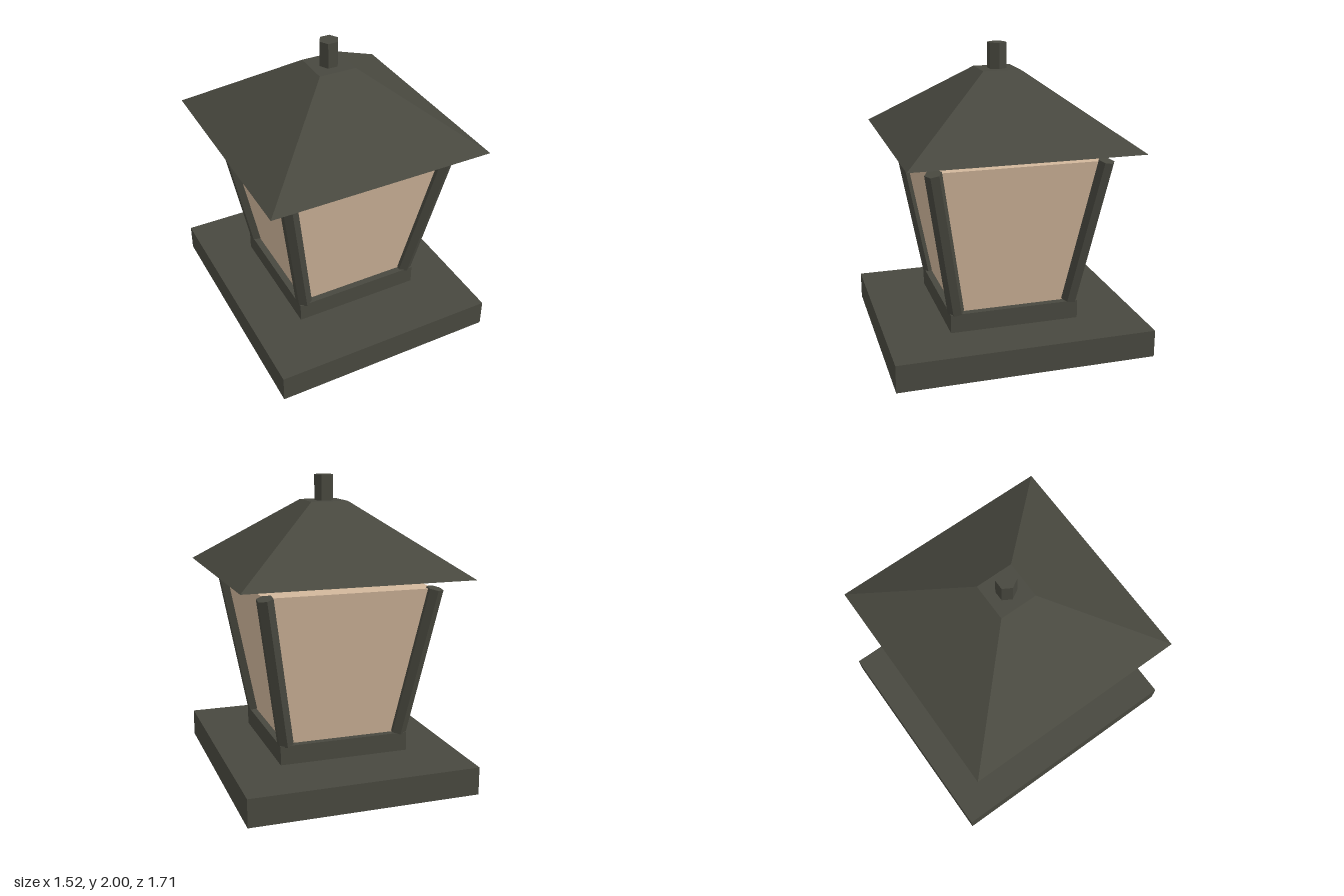
import * as THREE from 'three';

export function createModel() {
  const metal = new THREE.MeshStandardMaterial({ color: 0x48483f });
  metal.name = 'darkMetal';
  const glass = new THREE.MeshStandardMaterial({ color: 0xd2b79c });
  glass.name = 'warmGlass';
  const group = new THREE.Group();
  group.name = 'lantern';

  const add = (name, geometry, material, y) => {
    const mesh = new THREE.Mesh(geometry, material);
    mesh.name = name;
    mesh.position.y = y;
    group.add(mesh);
    return mesh;
  };
  // Faceted prism or cone
  const faceted = (rTop, rBottom, height, sides, turn) => {
    const g = new THREE.CylinderGeometry(rTop, rBottom, height, sides).rotateY(turn).toNonIndexed();
    g.computeVertexNormals();
    return g;
  };
  // Square frustum given by half widths
  const frustum = (top, bottom, height) =>
    faceted(top * Math.SQRT2, bottom * Math.SQRT2, height, 4, Math.PI / 4);

  // Plinth and collar
  add('base', new THREE.BoxGeometry(1.52, 0.184, 1.714), metal, 0.092);
  add('collar', new THREE.BoxGeometry(0.87, 0.125, 0.87), metal, 0.253);

  // Flared glass body
  const y0 = 0.315, y1 = 1.305, low = 0.39, high = 0.557;
  add('glassBody', frustum(high, low, y1 - y0), glass, (y0 + y1) / 2);

  // Leaning hexagonal corner posts
  for (const sx of [-1, 1]) {
    for (const sz of [-1, 1]) {
      const a = new THREE.Vector3(sx * low, y0, sz * low);
      const b = new THREE.Vector3(sx * high, y1, sz * high);
      const axis = b.clone().sub(a);
      const name = (sz > 0 ? 'front' : 'back') + (sx > 0 ? 'Left' : 'Right') + 'Post';
      const post = add(name, faceted(0.055, 0.055, axis.length(), 6, 0), metal, 0);
      post.position.copy(a).add(b).multiplyScalar(0.5);
      post.quaternion.setFromUnitVectors(new THREE.Vector3(0, 1, 0), axis.normalize());
    }
  }

  // Pyramid roof and finial
  add('roof', frustum(0.125, 0.75, 0.455), metal, 1.6045);
  add('finial', faceted(0.065, 0.065, 0.17, 6, Math.PI / 6), metal, 1.915);
  return group;
}
